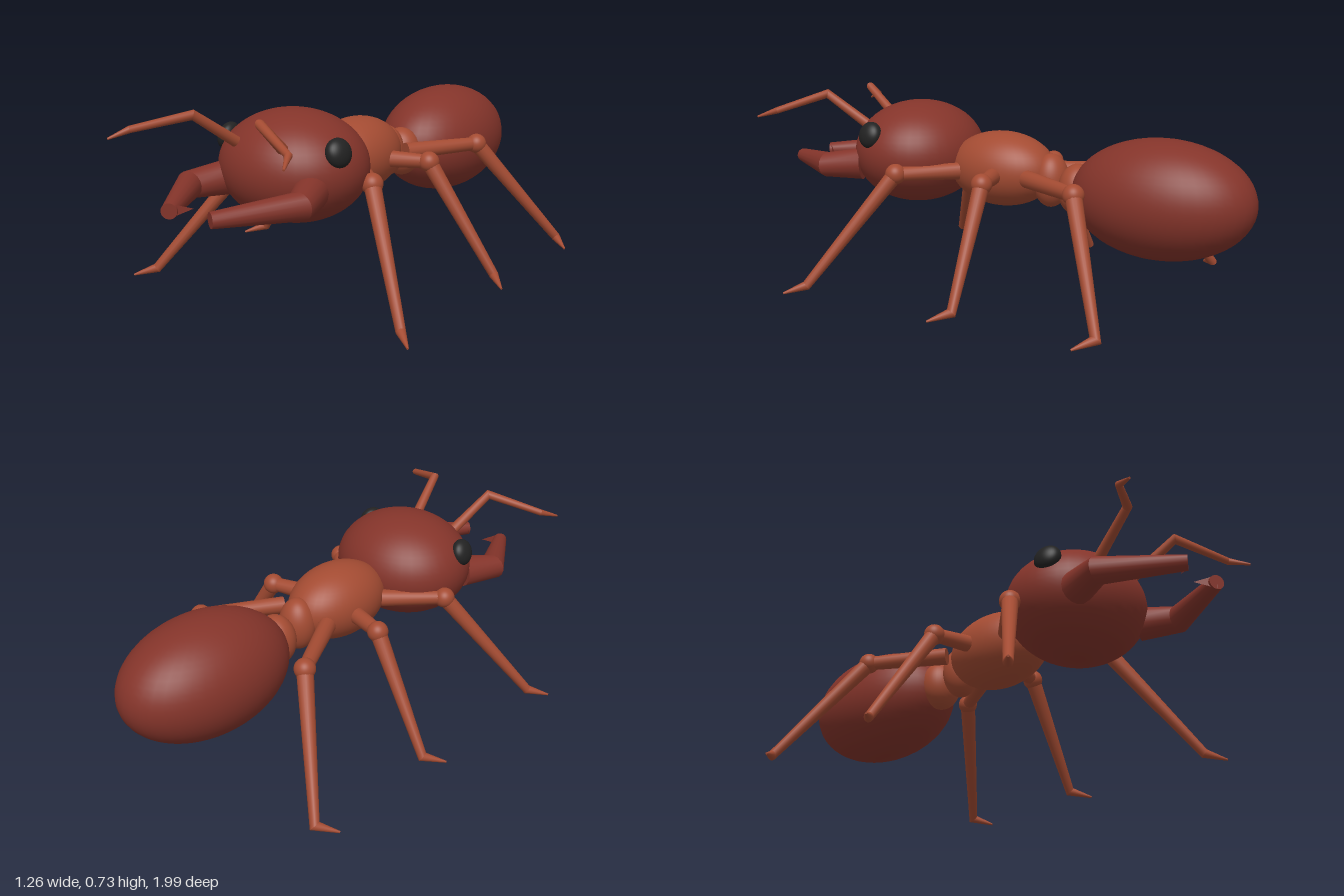
import * as THREE from 'three';

const mat = (color) => new THREE.MeshStandardMaterial({ color });
const V = (p) => new THREE.Vector3(...p);

// Tapered round tube through a few points, with mitred bends and closed ends
function limbGeometry(path, radii, sides = 14) {
  const pts = path.map(V);
  const dirs = pts.slice(1).map((p, i) => p.clone().sub(pts[i]).normalize());
  const normal = new THREE.Vector3(0, 1, 0).addScaledVector(dirs[0], -dirs[0].y).normalize();
  const rings = pts.map((p, i) => {
    const d = dirs[Math.max(i - 1, 0)];
    const next = dirs[Math.min(i, dirs.length - 1)];
    const t = d.clone().add(next).normalize();
    const side = d.clone().cross(normal);
    const ring = [];
    for (let k = 0; k < sides; k++) {
      const a = (k / sides) * Math.PI * 2;
      const o = normal.clone().multiplyScalar(Math.cos(a) * radii[i]).addScaledVector(side, Math.sin(a) * radii[i]);
      o.addScaledVector(d, -o.dot(t) / d.dot(t));
      ring.push(o.add(p));
    }
    normal.applyQuaternion(new THREE.Quaternion().setFromUnitVectors(d, next));
    return ring;
  });
  const verts = [], index = [];
  const put = (v) => verts.push(v.x, v.y, v.z) / 3 - 1;
  // Each segment has its own rings so bends stay crisp
  for (let i = 0; i < rings.length - 1; i++) {
    const a = rings[i].map(put), b = rings[i + 1].map(put);
    for (let k = 0; k < sides; k++) {
      const n = (k + 1) % sides;
      index.push(a[k], a[n], b[k], a[n], b[n], b[k]);
    }
  }
  const cap = (ring, c, flip) => {
    const ci = put(c), r = ring.map(put);
    r.forEach((v, k) => {
      const n = r[(k + 1) % sides];
      index.push(ci, flip ? n : v, flip ? v : n);
    });
  };
  cap(rings[0], pts[0], true);
  cap(rings[rings.length - 1], pts[pts.length - 1], false);
  const g = new THREE.BufferGeometry();
  g.setAttribute('position', new THREE.Float32BufferAttribute(verts, 3));
  g.setIndex(index);
  g.computeVertexNormals();
  return g;
}

export function createModel() {
  const model = new THREE.Group();
  model.name = 'ant';
  const dark = mat(0x84342a), light = mat(0xa34b32), black = mat(0x222222);

  const add = (parent, name, geometry, material) => {
    const mesh = new THREE.Mesh(geometry, material);
    mesh.name = name;
    parent.add(mesh);
    return mesh;
  };
  const ellipsoid = (parent, name, pos, radii, material) => {
    const mesh = add(parent, name, new THREE.SphereGeometry(1, 40, 28), material);
    mesh.position.set(...pos);
    mesh.scale.set(...radii);
    return mesh;
  };

  // Body segments from front to back
  ellipsoid(model, 'head', [0, 0.493, 0.425], [0.285, 0.207, 0.256], dark);
  ellipsoid(model, 'thorax', [0, 0.453, 0.03], [0.153, 0.148, 0.225], light);
  ellipsoid(model, 'frontWaistNode', [0, 0.425, -0.185], [0.075, 0.105, 0.07], light);
  ellipsoid(model, 'rearWaistNode', [0, 0.4, -0.3], [0.084, 0.1, 0.075], light);
  ellipsoid(model, 'abdomen', [0, 0.4, -0.645], [0.23, 0.225, 0.355], dark);

  // Hip, knee, ankle and toe of each leg on the left side
  const legs = {
    front: [[0.11, 0.445, 0.17], [0.287, 0.445, 0.347], [0.56, 0.03, 0.583], [0.625, 0.007, 0.643]],
    middle: [[0.12, 0.445, 0], [0.287, 0.445, -0.045], [0.56, 0.03, -0.083], [0.625, 0.007, -0.02]],
    hind: [[0.12, 0.445, -0.145], [0.287, 0.445, -0.425], [0.56, 0.03, -0.65], [0.625, 0.007, -0.592]],
  };

  for (const s of [1, -1]) {
    const label = s > 0 ? 'left' : 'right';
    const side = (path) => path.map(([x, y, z]) => [x * s, y, z]);

    for (const [place, path] of Object.entries(legs)) {
      const leg = new THREE.Group();
      leg.name = `${label}${place[0].toUpperCase()}${place.slice(1)}Leg`;
      const p = side(path);
      add(leg, 'upperLeg', limbGeometry(p.slice(0, 2), [0.034, 0.027]), light);
      ellipsoid(leg, 'knee', p[1], [0.04, 0.04, 0.04], light);
      add(leg, 'lowerLegAndFoot', limbGeometry(p.slice(1), [0.032, 0.018, 0.004]), light);
      model.add(leg);
    }

    // Elbowed antenna
    add(model, `${label}Antenna`, limbGeometry(
      side([[0.097, 0.585, 0.6], [0.147, 0.718, 0.787], [0.342, 0.663, 0.892], [0.378, 0.638, 0.962]]),
      [0.021, 0.017, 0.013, 0.004]), light);

    // Bent mandible with a thin inward blade at the tip
    add(model, `${label}Mandible`, limbGeometry(
      side([[0.19, 0.45, 0.58], [0.245, 0.443, 0.715], [0.09, 0.435, 0.978]]),
      [0.064, 0.05, 0.028], 16), dark);
    const blade = new THREE.BufferGeometry();
    blade.setAttribute('position', new THREE.Float32BufferAttribute(
      side([[0.09, 0.462, 0.978], [0.09, 0.41, 0.978], [0.038, 0.438, 0.915]]).flat(), 3));
    blade.computeVertexNormals();
    const bladeMat = dark.clone();
    bladeMat.side = THREE.DoubleSide;
    add(model, `${label}MandibleTip`, blade, bladeMat);

    // Bulging eye, flattened against the side of the head
    const eye = ellipsoid(model, `${label}Eye`, [0.247 * s, 0.581, 0.495], [0.036, 0.053, 0.053], black);
    eye.rotation.set(0, -0.2 * s, 0.3 * s);
  }
  return model;
}
